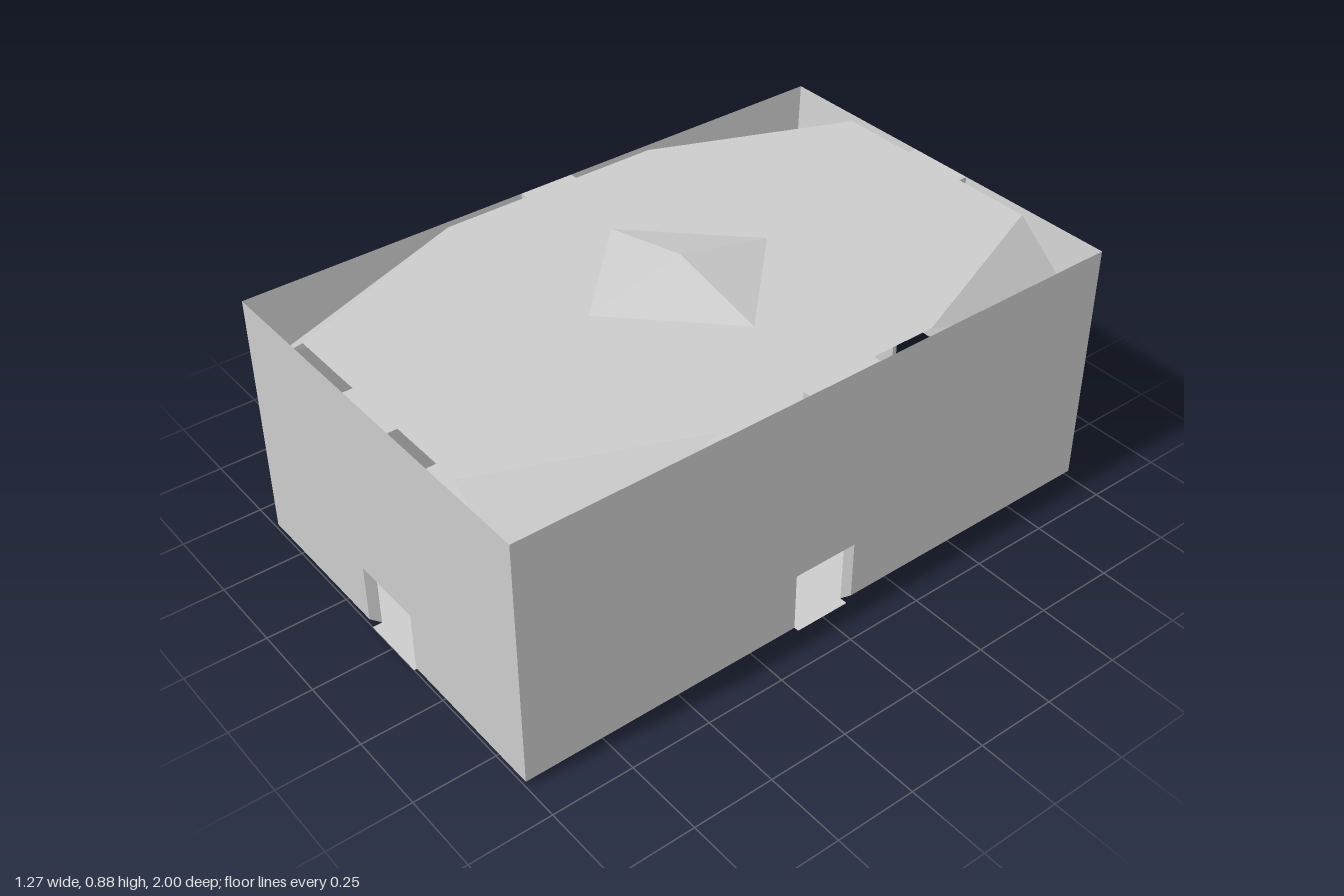
import * as THREE from 'three';

const material = new THREE.MeshStandardMaterial({ color: 0xcccccc, side: THREE.DoubleSide, flatShading: true });

// Flat sheet made from convex polygons, corners counter-clockwise from outside
function sheet(name, polygons) {
  const pos = [];
  for (const p of polygons)
    for (let i = 1; i < p.length - 1; i++) pos.push(...p[0], ...p[i], ...p[i + 1]);
  const g = new THREE.BufferGeometry();
  g.setAttribute('position', new THREE.Float32BufferAttribute(pos, 3));
  g.computeVertexNormals();
  const mesh = new THREE.Mesh(g, material);
  mesh.name = name;
  return mesh;
}

const TOP = 0.805, LOW = 0.6, SILL = 0.02, DOOR = 0.208, PEAK = 0.875;
const X = 0.61, Z = 0.97; // inner room half sizes
const OX = 0.635, OZ = 1; // outer shell half sizes
const CUT_X = 0.36, CUT_Z = 0.36; // where the roof corners start to fall

// One wall facing +z: w/d outer half width and depth, wi/di inner, a/b outer and inner half door
function createWall(w, d, wi, di, a, b) {
  const wall = new THREE.Group();
  const outer = [], inner = [], gutter = [], bevel = [], reveal = [];
  for (const s of [-1, 1]) {
    const add = (list, ...pts) => {
      const p = pts.map(([x, y, z]) => [s * x, y, z]);
      list.push(s < 0 ? p.reverse() : p);
    };
    add(outer, [a, SILL, d], [w, SILL, d], [w, TOP, d], [a, TOP, d]);
    add(inner, [wi, 0, di], [b, 0, di], [b, LOW, di], [wi, LOW, di]);
    add(gutter, [w, TOP, d], [wi, LOW, di], [b, LOW, di], [b, TOP, d]);
    add(gutter, [b, TOP, d], [b, LOW, di], [b, TOP, di]);
    add(bevel, [b, 0, di], [wi, 0, di], [w, SILL, d], [a, SILL, d]);
    add(reveal, [a, SILL, d], [a, DOOR, d], [b, DOOR, di], [b, 0, di]);
  }
  outer.push([[-a, DOOR, d], [a, DOOR, d], [a, TOP, d], [-a, TOP, d]]);
  inner.push([[b, DOOR, di], [-b, DOOR, di], [-b, LOW, di], [b, LOW, di]]);
  reveal.push([[-a, DOOR, d], [-b, DOOR, di], [b, DOOR, di], [a, DOOR, d]]);
  wall.add(
    sheet('outerWall', outer), sheet('innerWall', inner), sheet('gutter', gutter),
    sheet('bottomBevel', bevel), sheet('doorReveal', reveal),
    sheet('doorSill', [[[-b, 0, di], [b, 0, di], [b, 0, d], [-b, 0, d]].reverse()]),
    sheet('roofTab', [[[-b, TOP, d], [b, TOP, d], [b, TOP, di], [-b, TOP, di]]])
  );
  return wall;
}

export function createModel() {
  const model = new THREE.Group();
  model.name = 'building';

  // Four walls, each with a doorway
  ['frontWall', 'leftWall', 'backWall', 'rightWall'].forEach((name, i) => {
    const wall = i % 2 ? createWall(OZ, OX, Z, X, 0.105, 0.09) : createWall(OX, OZ, X, Z, 0.12, 0.107);
    wall.name = name;
    wall.rotation.y = i * Math.PI / 2;
    model.add(wall);
  });

  // Roof quarters around the raised centre, with falling corners
  const flat = [], corners = [], peak = [];
  const r = 0.313;
  for (const sx of [-1, 1]) for (const sz of [-1, 1]) {
    const add = (list, ...pts) => {
      const p = pts.map(([x, y, z]) => [sx * x, y, sz * z]);
      list.push(sx * sz < 0 ? p.reverse() : p);
    };
    add(flat, [0, TOP, r], [0, TOP, Z], [CUT_X, TOP, Z], [r, TOP, 0]);
    add(flat, [r, TOP, 0], [CUT_X, TOP, Z], [X, TOP, CUT_Z], [X, TOP, 0]);
    add(corners, [CUT_X, TOP, Z], [X, LOW, Z], [X, TOP, CUT_Z]);
    add(peak, [0, PEAK, 0], [0, TOP, r], [r, TOP, 0]);
  }
  model.add(sheet('roof', flat), sheet('roofCorners', corners), sheet('roofPeak', peak));

  // Floor
  model.add(sheet('floor', [[[-X, 0, -Z], [X, 0, -Z], [X, 0, Z], [-X, 0, Z]]]));
  return model;
}
